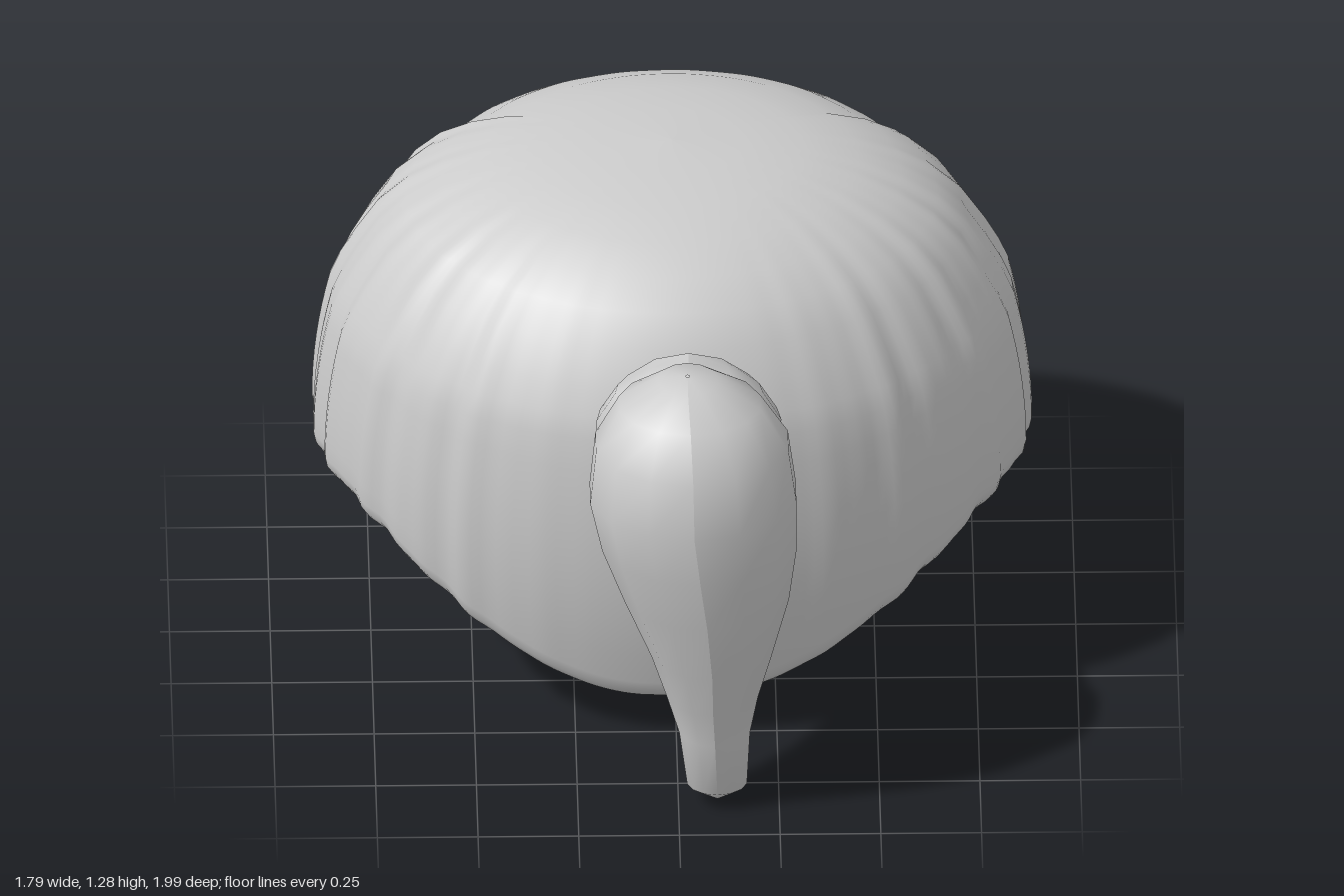
import * as THREE from 'three';

const material = new THREE.MeshStandardMaterial({ color: 0xcccccc, side: THREE.DoubleSide });
const CZ = -0.215, RX = 0.89, RZ = 0.785; // plan ellipse of the cap
const smooth = THREE.MathUtils.smoothstep;
const rad = THREE.MathUtils.degToRad;

// Indexed smooth surface from rows x columns of points
function gridMesh(name, rows, cols, pointAt) {
  const pos = [], idx = [];
  for (let j = 0; j <= rows; j++)
    for (let i = 0; i <= cols; i++) pos.push(...pointAt(j, i / cols));
  for (let j = 0; j < rows; j++)
    for (let i = 0; i < cols; i++) {
      const a = j * (cols + 1) + i, b = a + cols + 1;
      idx.push(a, b, a + 1, a + 1, b, b + 1);
    }
  const geo = new THREE.BufferGeometry();
  geo.setAttribute('position', new THREE.Float32BufferAttribute(pos, 3));
  geo.setIndex(idx);
  geo.computeVertexNormals();
  const mesh = new THREE.Mesh(geo, material);
  mesh.name = name;
  return mesh;
}

// Crown profile: radius fraction, height
const crown = [[0, 1.285], [0.2, 1.278], [0.37, 1.262], [0.52, 1.23], [0.64, 1.185],
  [0.74, 1.13], [0.82, 1.06], [0.885, 0.97], [0.925, 0.905], [0.951, 0.85]];
const WALL = 8, LIP = 8;

// Sector of the cap: crown, wall down to the hem, then a lip rolled inward
function capSector(name, from, to, cols, hem, scale, groove) {
  return gridMesh(name, crown.length - 1 + WALL + LIP, cols, (j, t) => {
    const deg = from + (to - from) * t, phi = rad(deg);
    const low = hem(deg), end = low + 0.06;
    let r, y, inset = 0;
    if (j < crown.length) [r, y] = crown[j];
    else {
      const k = j - crown.length + 1;
      y = 0.85 + (end - 0.85) * Math.min(1, k / WALL);
      r = 1 - 0.4 * (y - 0.5) ** 2;
      if (k > WALL) {
        const a = (k - WALL) / LIP * Math.PI * 1.1;
        inset = 0.055 * (1 - Math.cos(a));
        y = end - 0.06 * Math.sin(a);
      }
    }
    const fade = smooth(r, 0.3, 0.85);
    r *= 1 + fade * (scale(deg) - 1 + groove(phi, deg));
    return [Math.sin(phi) * (RX * r - inset), y, CZ + Math.cos(phi) * (RZ * r - inset)];
  });
}

// Long lock: height, x min, x max, z min, z max
const lockRings = [
  [1.152, 0.02, 0.03, 0.7, 0.71], [1.145, -0.05, 0.1, 0.63, 0.79], [1.09, -0.15, 0.21, 0.57, 0.89],
  [0.99, -0.21, 0.28, 0.53, 0.97], [0.85, -0.225, 0.3, 0.525, 1.0], [0.72, -0.195, 0.3, 0.55, 1.0],
  [0.58, -0.14, 0.28, 0.59, 0.985], [0.42, -0.07, 0.235, 0.655, 0.955], [0.3, -0.03, 0.2, 0.695, 0.93],
  [0.2, 0.0, 0.18, 0.725, 0.91], [0.05, 0.02, 0.172, 0.75, 0.892], [0.0, 0.095, 0.1, 0.82, 0.825]];

// Root of the lock: z, lean of z per height, centre y, x radius, y radius
const rootRings = [
  [0.7, 0, 0.92, 0.2, 0.19], [0.6, 0.1, 0.92, 0.235, 0.205],
  [0.52, 0.22, 0.91, 0.225, 0.2], [0.46, 0.25, 0.91, 0.19, 0.19]];

export function createModel() {
  const group = new THREE.Group();

  // Main hair: sides and the long rounded flap, lightly fluted
  group.add(capSector('mainHair', -121, 121, 160,
    d => 0.1 + 0.34 * smooth(Math.abs(d), 5, 68),
    () => 1,
    (p, d) => smooth(Math.abs(d), 12, 45) *
      (0.006 * Math.sin(29 * p + 0.6) + 0.004 * Math.sin(47 * p))));

  // Swept fringe: tucked under the main hair, hem slanting across
  group.add(capSector('fringe', 117, 243, 60,
    d => 0.75 - 0.19 * smooth(d, 138, 206),
    d => 1 - 0.04 * smooth(Math.abs(d - 180), 25, 60),
    p => 0.002 * Math.sin(23 * p)));

  // Hanging lock
  group.add(gridMesh('lock', lockRings.length - 1, 14, (j, t) => {
    const [y, x0, x1, z0, z1] = lockRings[j], a = t * Math.PI * 2;
    return [(x0 + x1) / 2 + Math.sin(a) * (x1 - x0) / 2, y,
      (z0 + z1) / 2 + Math.cos(a) * (z1 - z0) / 2];
  }));

  // Open root joining the lock to the cap
  group.add(gridMesh('lockRoot', rootRings.length - 1, 14, (j, t) => {
    const [z, lean, cy, rx, ry] = rootRings[j], a = t * Math.PI * 2;
    const h = Math.cos(a) * ry;
    return [0.03 + Math.sin(a) * rx, cy + h, z + lean * h];
  }));

  return group;
}
